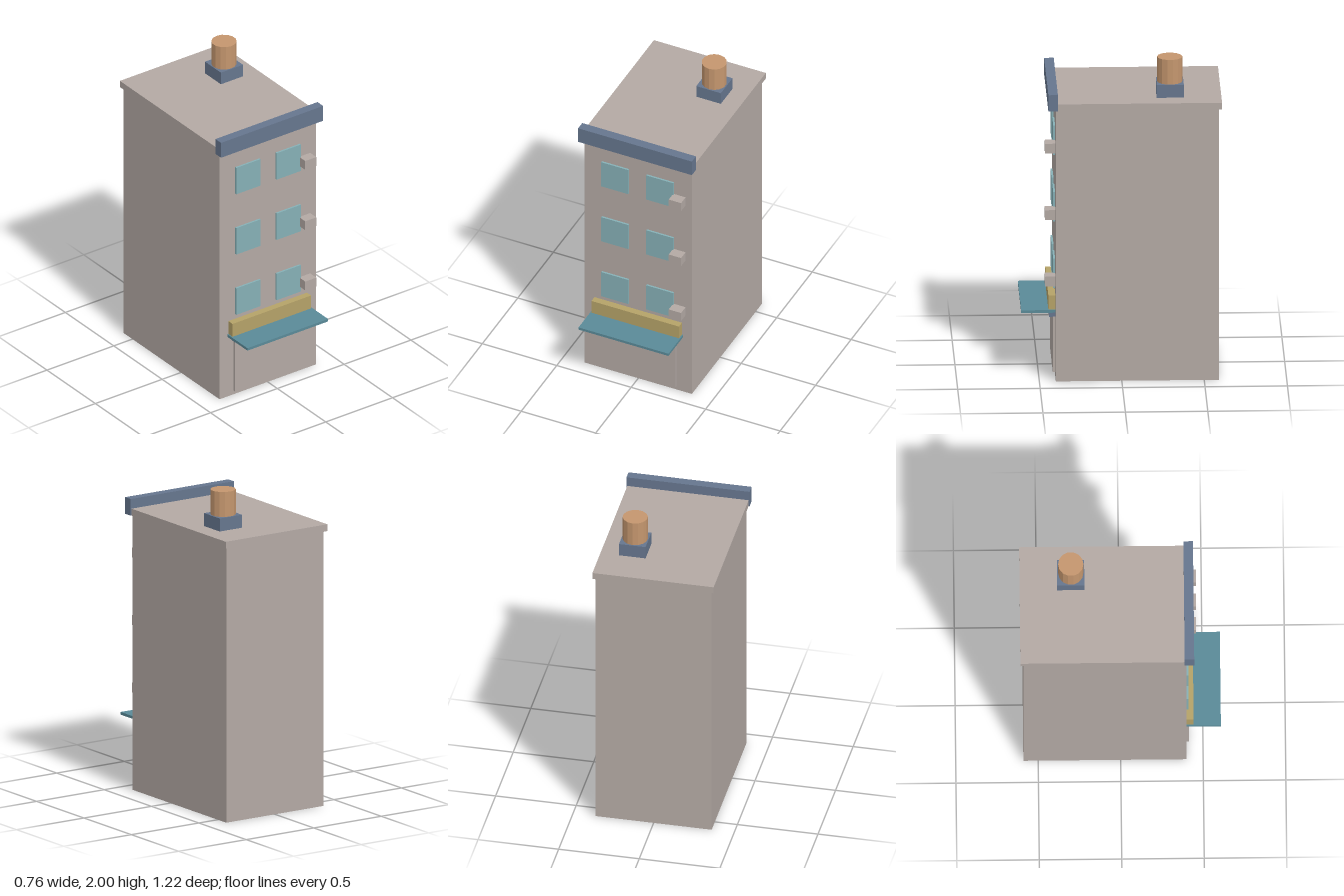
import * as THREE from 'three';

const paint = (name, color) => {
  const m = new THREE.MeshStandardMaterial({ color });
  m.name = name;
  return m;
};

export function createModel() {
  const group = new THREE.Group();
  const wall = paint('warm grey wall', 0xb3a9a4);
  const trim = paint('slate blue trim', 0x66768e);
  const glass = paint('pale teal glass', 0x86b0b6);
  const teal = paint('teal awning', 0x5a8a98);
  const gold = paint('mustard sign', 0xb5a268);
  const clay = paint('clay chimney', 0xc4966e);
  clay.flatShading = true;

  // Box from its min and max corners
  const box = (name, mat, x0, x1, y0, y1, z0, z1) => {
    const mesh = new THREE.Mesh(new THREE.BoxGeometry(x1 - x0, y1 - y0, z1 - z0), mat);
    mesh.position.set((x0 + x1) / 2, (y0 + y1) / 2, (z0 + z1) / 2);
    mesh.name = name;
    group.add(mesh);
  };

  // Building shell and roof
  box('building', wall, -0.36, 0.36, 0, 1.72, -0.59, 0.4);
  box('roofSlab', wall, -0.376, 0.376, 1.72, 1.763, -0.608, 0.395);
  box('cornice', trim, -0.382, 0.382, 1.72, 1.824, 0.388, 0.446);

  // Chimney
  box('chimneyBase', trim, 0.096, 0.261, 1.763, 1.844, -0.38, -0.215);
  const pot = new THREE.Mesh(new THREE.CylinderGeometry(0.077, 0.077, 0.156, 14), clay);
  pot.position.set(0.178, 1.922, -0.297);
  pot.name = 'chimneyPot';
  group.add(pot);

  // Windows and air conditioners on each upper floor
  for (let floor = 0; floor < 3; floor++) {
    const y = 0.557 + floor * 0.422;
    box('windowRight', glass, -0.243, -0.062, y, y + 0.185, 0.4, 0.412);
    box('windowLeft', glass, 0.059, 0.24, y, y + 0.185, 0.4, 0.412);
    box('airConditioner', wall, 0.235, 0.318, y + 0.033, y + 0.095, 0.4, 0.464);
  }

  // Shop front
  box('shopFront', wall, -0.257, 0.257, 0.027, 0.383, 0.4, 0.415);
  box('lintel', trim, -0.268, 0.268, 0.382, 0.418, 0.4, 0.438);
  box('awning', teal, -0.302, 0.302, 0.418, 0.435, 0.4, 0.608);
  box('signBoard', gold, -0.294, 0.294, 0.435, 0.525, 0.4, 0.443);

  return group;
}
